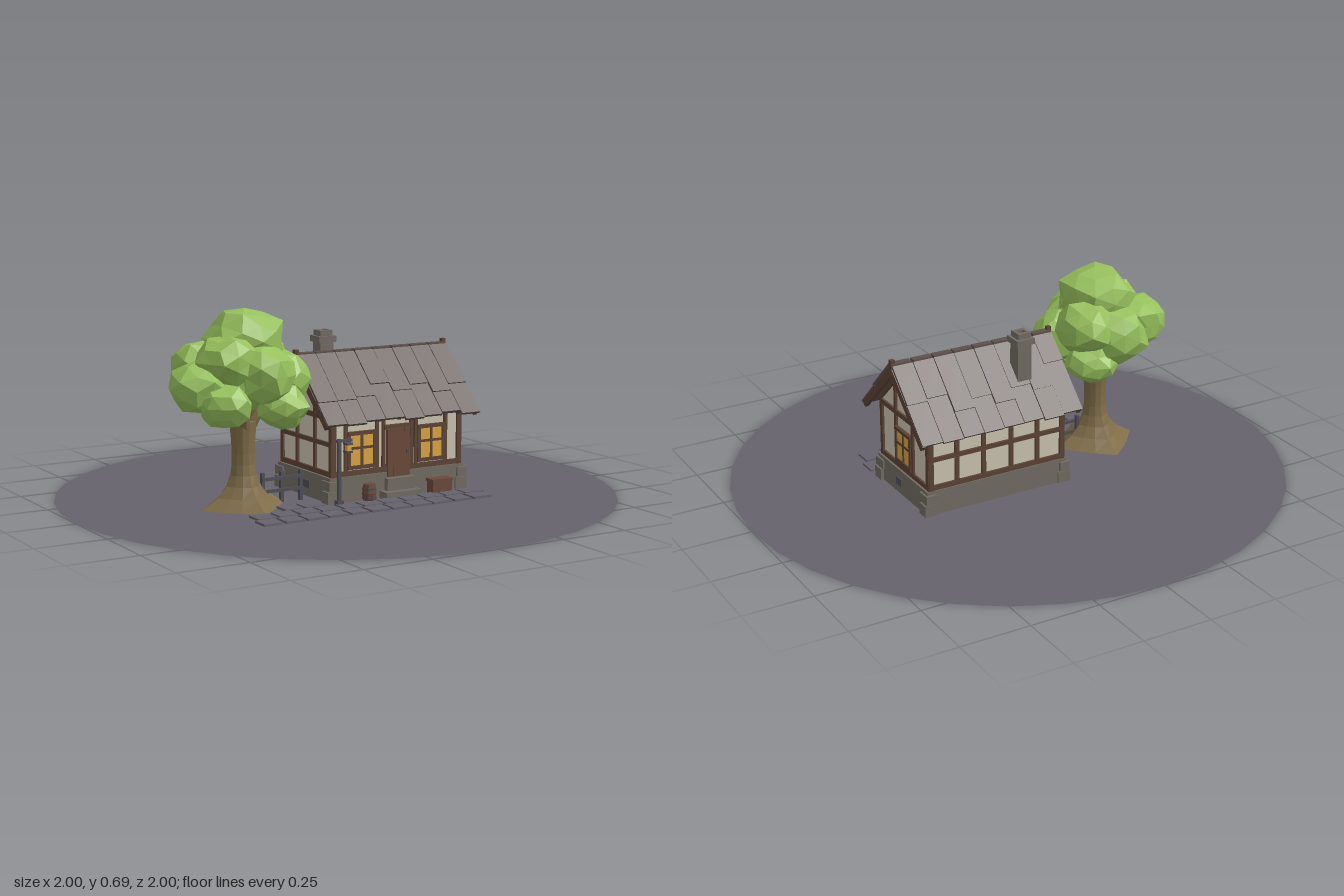
import * as THREE from 'three';

const mat = (name, color, extra = {}) => {
  const m = new THREE.MeshStandardMaterial({ color, flatShading: true, ...extra });
  m.name = name;
  return m;
};

export function createModel() {
  const ground = mat('ground slate', 0x65626b, { side: THREE.DoubleSide });
  const stone = mat('stone', 0x716c63), plaster = mat('plaster', 0xcbc3af);
  const timber = mat('timber', 0x5c4335), shingle = mat('shingle', 0x5d504b);
  const glow = mat('window glow', 0xdba444), leaf = mat('leaf', 0x96c05c);
  const bark = mat('bark', 0x7f6c48), iron = mat('iron', 0x504e56), plank = mat('plank', 0x6a4939);

  let seed = 7;
  const rnd = () => (seed = (seed * 16807) % 2147483647) / 2147483647;
  const model = new THREE.Group();
  const add = (parent, name, geo, material, x = 0, y = 0, z = 0) => {
    const m = new THREE.Mesh(geo, material);
    m.name = name;
    m.position.set(x, y, z);
    parent.add(m);
    return m;
  };
  const box = (parent, name, material, w, h, d, x, y, z) =>
    add(parent, name, new THREE.BoxGeometry(w, h, d), material, x, y, z);
  const group = (parent, name, x = 0, y = 0, z = 0) => {
    const g = new THREE.Group();
    g.name = name;
    g.position.set(x, y, z);
    parent.add(g);
    return g;
  };

  // Ground disc and two rows of paving
  add(model, 'groundDisc', new THREE.CircleGeometry(1, 36), ground).rotation.x = -Math.PI / 2;
  const paving = group(model, 'paving');
  for (let row = 0; row < 3; row++)
    for (let i = 0; i < 11; i++) {
      const x = -0.45 + i * 0.084 + (row % 2) * 0.02;
      if (row === 0 && (x < -0.36 || x > -0.16)) continue;
      const w = 0.068 + rnd() * 0.01;
      box(paving, 'pavingStone', ground, w, 0.008, 0.068, x, 0.004, 0.165 + row * 0.079);
    }

  // House shell
  const house = group(model, 'house', 0.155, 0, -0.015);
  box(house, 'foundation', stone, 0.56, 0.09, 0.37, 0, 0.045, 0);
  const shape = new THREE.Shape();
  [[-0.175, 0.09], [0.175, 0.09], [0.175, 0.32], [0, 0.485], [-0.175, 0.32]]
    .forEach(([x, y], i) => (i ? shape.lineTo(x, y) : shape.moveTo(x, y)));
  const shell = new THREE.ExtrudeGeometry(shape, { depth: 0.53, bevelEnabled: false });
  add(house, 'plasterWalls', shell.rotateY(Math.PI / 2), plaster, -0.265, 0, 0);
  for (const sx of [-1, 1]) {
    for (const sz of [-1, 1]) {
      box(house, 'cornerStone', stone, 0.05, 0.042, 0.045, sx * 0.267, 0.021, sz * 0.17);
      box(house, 'cornerStone', stone, 0.038, 0.034, 0.055, sx * 0.268, 0.061, sz * 0.167);
    }
    box(house, 'foundationVent', iron, 0.006, 0.028, 0.04, sx * 0.281, 0.045, 0.025);
  }

  // Wall framing: each wall group faces +z in its own space
  const wall = (name, turn, dist) => {
    const pivot = group(house, name);
    pivot.rotation.y = turn;
    return group(pivot, name + 'Frame', 0, 0, dist);
  };
  const beam = (g, x0, y0, x1, y1, w = 0.016, d = 0.016, name = 'beam') => {
    const b = box(g, name, timber, Math.hypot(x1 - x0, y1 - y0), w, d, (x0 + x1) / 2, (y0 + y1) / 2, 0);
    b.rotation.z = Math.atan2(y1 - y0, x1 - x0);
  };
  const windowAt = (g, x, y = 0.18) => {
    box(g, 'windowPanes', glow, 0.1, 0.115, 0.008, x, y, 0.004);
    for (const s of [-1, 1]) {
      beam(g, x + s * 0.052, y - 0.063, x + s * 0.052, y + 0.063, 0.013, 0.024, 'windowFrame');
      beam(g, x - 0.058, y + s * 0.06, x + 0.058, y + s * 0.06, 0.013, 0.026, 'windowFrame');
    }
    beam(g, x, y - 0.06, x, y + 0.06, 0.01, 0.021, 'windowBar');
    beam(g, x - 0.052, y + 0.008, x + 0.052, y + 0.008, 0.009, 0.021, 'windowBar');
  };
  const front = wall('frontWall', 0, 0.175), back = wall('backWall', Math.PI, 0.175);
  const left = wall('leftWall', Math.PI / 2, 0.265), right = wall('rightWall', -Math.PI / 2, 0.265);

  for (const [g, half] of [[front, 0.265], [back, 0.265], [left, 0.175], [right, 0.175]]) {
    beam(g, -half, 0.1, half, 0.1, 0.018);
    beam(g, -half, 0.298, half, 0.298, 0.018);
    for (const s of [-1, 1]) beam(g, s * (half - 0.004), 0.09, s * (half - 0.004), 0.3, 0.018);
  }
  for (const x of [-0.213, -0.085, -0.058, 0.058, 0.077, 0.203]) beam(front, x, 0.1, x, 0.3, 0.013);
  windowAt(front, -0.15);
  windowAt(front, 0.14);
  for (const x of [-0.16, -0.055, 0.055, 0.16]) beam(back, x, 0.1, x, 0.3);
  beam(back, -0.265, 0.205, 0.265, 0.205);
  windowAt(left, -0.002);
  beam(right, -0.175, 0.205, 0.175, 0.205);
  for (const g of [left, right])
    for (const s of [-1, 1]) {
      beam(g, s * 0.062, 0.1, s * 0.062, 0.415, 0.014);
      beam(g, s * 0.19, 0.302, 0, 0.478, 0.02, 0.02, 'gableRafter');
    }

  // Door with planks, handle and steps
  for (let i = 0; i < 4; i++) box(front, 'doorPlank', plank, 0.0225, 0.175, 0.014, -0.035 + i * 0.0233, 0.16, 0.008);
  beam(front, -0.058, 0.25, 0.058, 0.25, 0.016, 0.028, 'doorLintel');
  box(front, 'doorHandle', iron, 0.007, 0.014, 0.008, 0.032, 0.16, 0.018);
  box(house, 'lowerStep', stone, 0.145, 0.026, 0.06, -0.005, 0.013, 0.203);
  box(house, 'upperStep', stone, 0.115, 0.07, 0.025, 0, 0.035, 0.195);

  // Roof slopes of overlapping boards
  const pitch = Math.atan2(0.205, 0.222);
  for (const turn of [0, Math.PI]) {
    const side = group(house, 'roofSide', 0, 0.488, 0);
    side.rotation.y = turn;
    const slope = group(side, 'roofSlope');
    slope.rotation.x = pitch;
    box(slope, 'roofDeck', shingle, 0.62, 0.012, 0.292, 0, -0.004, 0.146);
    for (let i = 0; i < 8; i++) {
      const split = 0.1 + rnd() * 0.12, end = 0.297 + rnd() * 0.016, x = -0.277 + i * 0.0792;
      const rows = [[0, split, 0.014], [split - 0.015, end, 0.006]];
      for (const [a, b, lift] of rows) {
        const s = box(slope, 'roofBoard', shingle, 0.077, 0.01, b - a, x, lift + rnd() * 0.003, (a + b) / 2);
        s.rotation.x = 0.025;
      }
    }
    for (const s of [-1, 1]) box(slope, 'bargeBoard', timber, 0.014, 0.026, 0.308, s * 0.309, -0.006, 0.15);
    for (let i = 0; i < 7; i++) box(slope, 'rafterEnd', timber, 0.014, 0.018, 0.07, -0.25 + i * 0.083, -0.018, 0.25);
  }
  for (let i = 0; i < 8; i++) box(house, 'ridgeCap', shingle, 0.072, 0.014, 0.026, -0.277 + i * 0.0792, 0.503, 0);
  for (const s of [-1, 1]) box(house, 'ridgeFinial', timber, 0.016, 0.05, 0.016, s * 0.31, 0.497, 0);

  // Chimney
  const chimney = group(house, 'chimney', -0.14, 0, -0.1);
  box(chimney, 'chimneyStack', stone, 0.054, 0.16, 0.054, 0, 0.46, 0);
  box(chimney, 'chimneyCap', stone, 0.07, 0.022, 0.07, 0, 0.54, 0);
  for (const s of [-1, 1]) {
    box(chimney, 'chimneyRim', stone, 0.05, 0.02, 0.012, 0, 0.561, s * 0.019);
    box(chimney, 'chimneyRim', stone, 0.012, 0.02, 0.026, s * 0.019, 0.561, 0);
  }

  // Barrel, crate and lantern post
  const barrel = group(model, 'barrel', 0.012, 0, 0.207);
  const stave = [[0, 0], [0.021, 0], [0.026, 0.033], [0.021, 0.066], [0, 0.066]].map(p => new THREE.Vector2(...p));
  add(barrel, 'barrelBody', new THREE.LatheGeometry(stave, 10), plank);
  for (const y of [0.017, 0.049]) add(barrel, 'barrelHoop', new THREE.CylinderGeometry(0.0265, 0.0265, 0.007, 10), iron, 0, y, 0);
  box(model, 'crate', plank, 0.08, 0.045, 0.04, 0.308, 0.0225, 0.205);
  box(model, 'crateLid', plank, 0.087, 0.01, 0.046, 0.308, 0.05, 0.205);
  const post = group(model, 'lanternPost', -0.112, 0, 0.21);
  box(post, 'postFoot', iron, 0.024, 0.02, 0.024, 0, 0.01, 0);
  box(post, 'postShaft', iron, 0.012, 0.235, 0.012, 0, 0.1175, 0);
  box(post, 'postArm', iron, 0.06, 0.009, 0.009, 0.02, 0.228, 0);
  box(post, 'lanternGlass', glow, 0.017, 0.022, 0.017, 0.036, 0.202, 0);
  for (const y of [0.188, 0.216]) box(post, 'lanternPlate', iron, 0.025, 0.007, 0.025, 0.036, y, 0);

  // Fence between the tree and the house
  const fence = group(model, 'fence', -0.25, 0, 0.05);
  for (const x of [-0.075, 0, 0.075]) box(fence, 'fencePost', iron, 0.012, 0.11, 0.014, x, 0.055, 0);
  for (const y of [0.045, 0.088]) box(fence, 'fenceRail', iron, 0.165, 0.011, 0.009, 0, y, 0.008);

  // Tree trunk: a cylinder reshaped with flaring roots
  const tree = group(model, 'tree', -0.395, 0, 0.04);
  const trunkGeo = new THREE.CylinderGeometry(1, 1, 0.3, 12, 8).translate(0, 0.15, 0);
  const p = trunkGeo.attributes.position;
  for (let i = 0; i < p.count; i++) {
    const y = p.getY(i), a = Math.atan2(p.getZ(i), p.getX(i));
    const flare = Math.pow(1 - y / 0.3, 5);
    const r = 0.036 + 0.012 * (y / 0.3) ** 3 + flare * (0.1 + 0.024 * Math.cos(4 * a));
    const k = Math.hypot(p.getX(i), p.getZ(i)) * r;
    p.setXYZ(i, Math.cos(a) * k, y, Math.sin(a) * k);
  }
  trunkGeo.computeVertexNormals();
  add(tree, 'trunk', trunkGeo, bark);
  for (let i = 0; i < 4; i++) {
    const a = i * 1.57 + 0.4, dir = new THREE.Vector3(Math.cos(a) * 0.55, 1, Math.sin(a) * 0.55).normalize();
    const b = add(tree, 'branch', new THREE.CylinderGeometry(0.014, 0.025, 0.16, 6), bark, dir.x * 0.09, 0.255 + dir.y * 0.07, dir.z * 0.09);
    b.quaternion.setFromUnitVectors(new THREE.Vector3(0, 1, 0), dir);
  }

  // Faceted leaf clumps: x, y, z, width, height
  const clumps = [
    [0.01, 0.585, 0.0, 0.14, 0.105], [0.0, 0.46, 0.0, 0.17, 0.13],
    [-0.175, 0.43, 0.02, 0.108, 0.095], [0.15, 0.44, 0.02, 0.1, 0.1],
    [0.02, 0.47, 0.105, 0.115, 0.11], [-0.02, 0.46, -0.115, 0.115, 0.11],
    [-0.11, 0.49, -0.08, 0.115, 0.09], [0.1, 0.5, -0.085, 0.11, 0.1],
    [-0.12, 0.375, 0.1, 0.095, 0.08], [0.09, 0.36, 0.11, 0.095, 0.08],
    [-0.09, 0.52, 0.07, 0.11, 0.09], [0.085, 0.375, -0.1, 0.1, 0.08],
  ];
  clumps.forEach(([x, y, z, w, h], n) => {
    const geo = new THREE.IcosahedronGeometry(1, 1), q = geo.attributes.position;
    for (let i = 0; i < q.count; i++) {
      const [a, b, c] = [q.getX(i), q.getY(i), q.getZ(i)];
      const k = 0.98 + 0.09 * Math.sin(a * 5.3 + n * 2.1) * Math.cos(b * 4.7 - n) + 0.06 * Math.sin(c * 6.1 + n * 3);
      q.setXYZ(i, a * k * w, b * k * h, c * k * w);
    }
    geo.computeVertexNormals();
    add(tree, 'leafClump', geo, leaf, x, y, z).rotation.y = n * 1.3;
  });

  return model;
}
